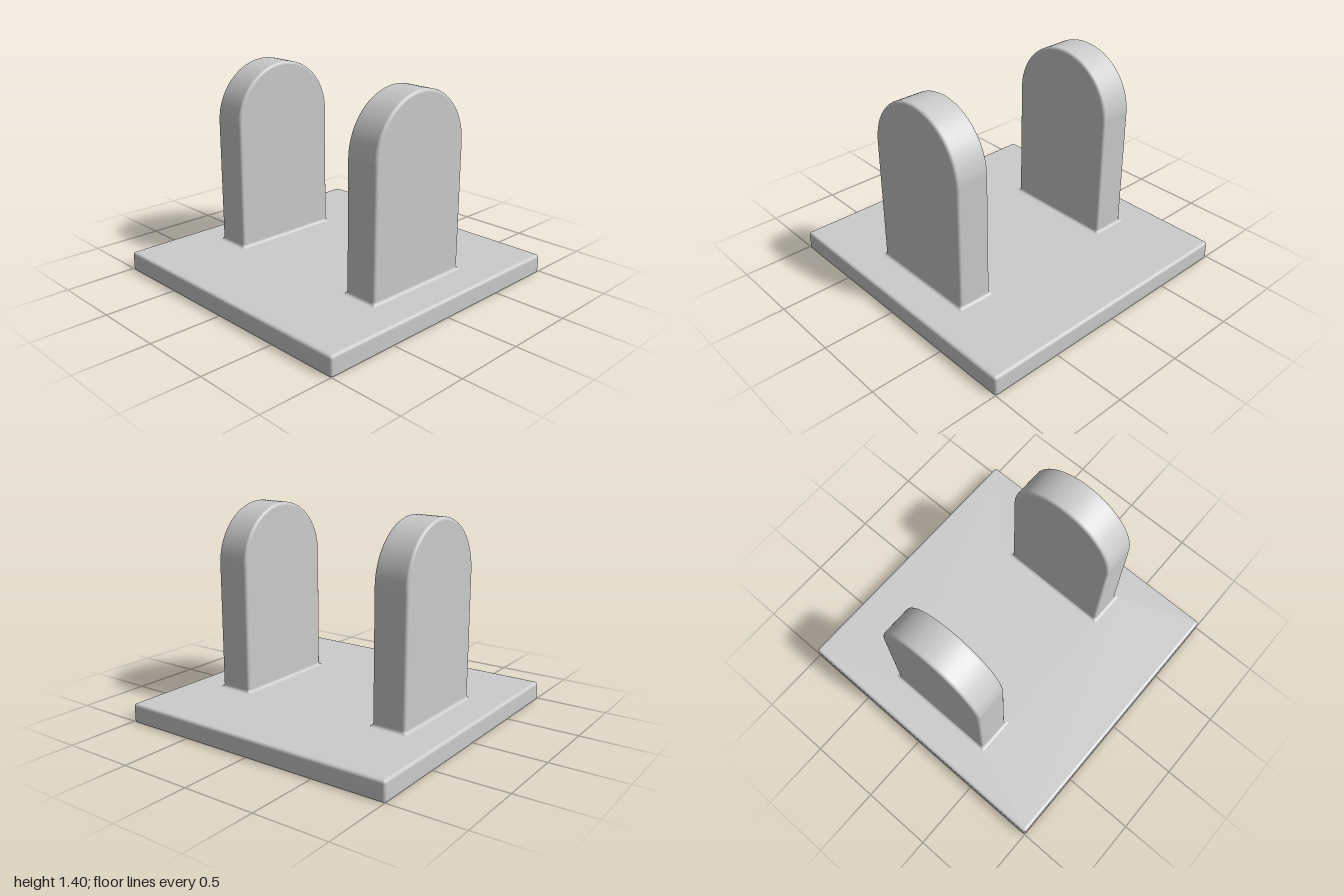
import * as THREE from 'three';

const R = 0.02;            // edge rounding and base fillet
const PLATE_TOP = 0.125;
const TAB_X = 0.63, TAB_HX = 0.12, TAB_HZ = 0.4, ARCH_Y = 1.0;
const STEPS = 4;

const material = new THREE.MeshStandardMaterial({ color: 0xcccccc, side: THREE.DoubleSide });

// Joins successive loops of points into a smooth surface
function skin(loops, closed) {
  const n = loops[0].length, index = [];
  for (let i = 0; i < loops.length - 1; i++) {
    for (let j = 0; j < (closed ? n : n - 1); j++) {
      const a = i * n + j, b = i * n + (j + 1) % n;
      index.push(a, b, a + n, b, b + n, a + n);
    }
  }
  const geometry = new THREE.BufferGeometry().setFromPoints(loops.flat());
  geometry.setIndex(index);
  geometry.computeVertexNormals();
  return geometry;
}

// Horizontal rounded rectangle, counter-clockwise from above
function rectLoop(hx, hz, r, y) {
  const points = [];
  [[1, 1], [-1, 1], [-1, -1], [1, -1]].forEach(([sx, sz], k) => {
    for (let i = 0; i <= STEPS; i++) {
      const a = (k + i / STEPS) * Math.PI / 2;
      points.push(new THREE.Vector3(
        sx * (hx - r) + r * Math.cos(a), y, -sz * (hz - r) - r * Math.sin(a)));
    }
  });
  return points;
}

// Arch outline at a given x, from the back foot over to the front foot
function archLoop(x, inset) {
  const r = TAB_HZ - inset, foot = PLATE_TOP + R;
  const points = [new THREE.Vector3(x, foot, -r)];
  for (let i = 0; i <= 40; i++) {
    const a = Math.PI * i / 40;
    points.push(new THREE.Vector3(x, ARCH_Y + r * Math.sin(a), -r * Math.cos(a)));
  }
  points.push(new THREE.Vector3(x, foot, r));
  return points;
}

function rectPath(path, cx, hx, hz) {
  path.moveTo(cx - hx, -hz).lineTo(cx + hx, -hz).lineTo(cx + hx, hz).lineTo(cx - hx, hz);
  path.closePath();
  return path;
}

function add(parent, name, geometry) {
  const mesh = new THREE.Mesh(geometry, material);
  mesh.name = name;
  parent.add(mesh);
  return mesh;
}

// Hollow base: open underneath, with openings into the uprights
function createBase() {
  const base = new THREE.Group();
  base.name = 'basePlate';
  const loops = [rectLoop(1, 1, R, 0)];
  for (let i = 0; i <= STEPS; i++) {
    const a = i / STEPS * Math.PI / 2, inset = R * (1 - Math.cos(a));
    loops.push(rectLoop(1 - inset, 1 - inset, R - inset, PLATE_TOP - R + R * Math.sin(a)));
  }
  add(base, 'plateRim', skin(loops, true));

  const top = rectPath(new THREE.Shape(), 0, 1 - R, 1 - R);
  for (const s of [-1, 1]) {
    top.holes.push(rectPath(new THREE.Path(), s * TAB_X, TAB_HX + R, TAB_HZ + R));
  }
  add(base, 'plateTop', new THREE.ShapeGeometry(top).rotateX(-Math.PI / 2).translate(0, PLATE_TOP, 0));
  return base;
}

// Hollow round-topped upright with softened edges and a filleted foot
function createUpright(name, x) {
  const upright = new THREE.Group();
  upright.name = name;
  upright.position.x = x;

  const arches = [];
  for (const s of [-1, 1]) {
    for (let i = 0; i <= STEPS; i++) {
      const a = (s < 0 ? STEPS - i : i) / STEPS * Math.PI / 2;
      arches.push(archLoop(s * (TAB_HX - R + R * Math.sin(a)), R * (1 - Math.cos(a))));
    }
  }
  add(upright, 'uprightEdge', skin(arches, false));

  const face = new THREE.Shape(archLoop(0, R).map(p => new THREE.Vector2(p.z, p.y)));
  for (const s of [-1, 1]) {
    add(upright, s > 0 ? 'leftFace' : 'rightFace',
      new THREE.ShapeGeometry(face).rotateY(s * Math.PI / 2).translate(s * TAB_HX, 0, 0));
  }

  const flare = [];
  for (let i = 0; i <= STEPS; i++) {
    const a = i / STEPS * Math.PI / 2, out = R * (1 - Math.sin(a));
    flare.push(rectLoop(TAB_HX + out, TAB_HZ + out, R - out, PLATE_TOP + R * (1 - Math.cos(a))));
  }
  add(upright, 'footFillet', skin(flare, true));
  return upright;
}

export function createModel() {
  const model = new THREE.Group();
  model.name = 'bracket';
  model.add(createBase(), createUpright('leftUpright', TAB_X), createUpright('rightUpright', -TAB_X));
  return model;
}
